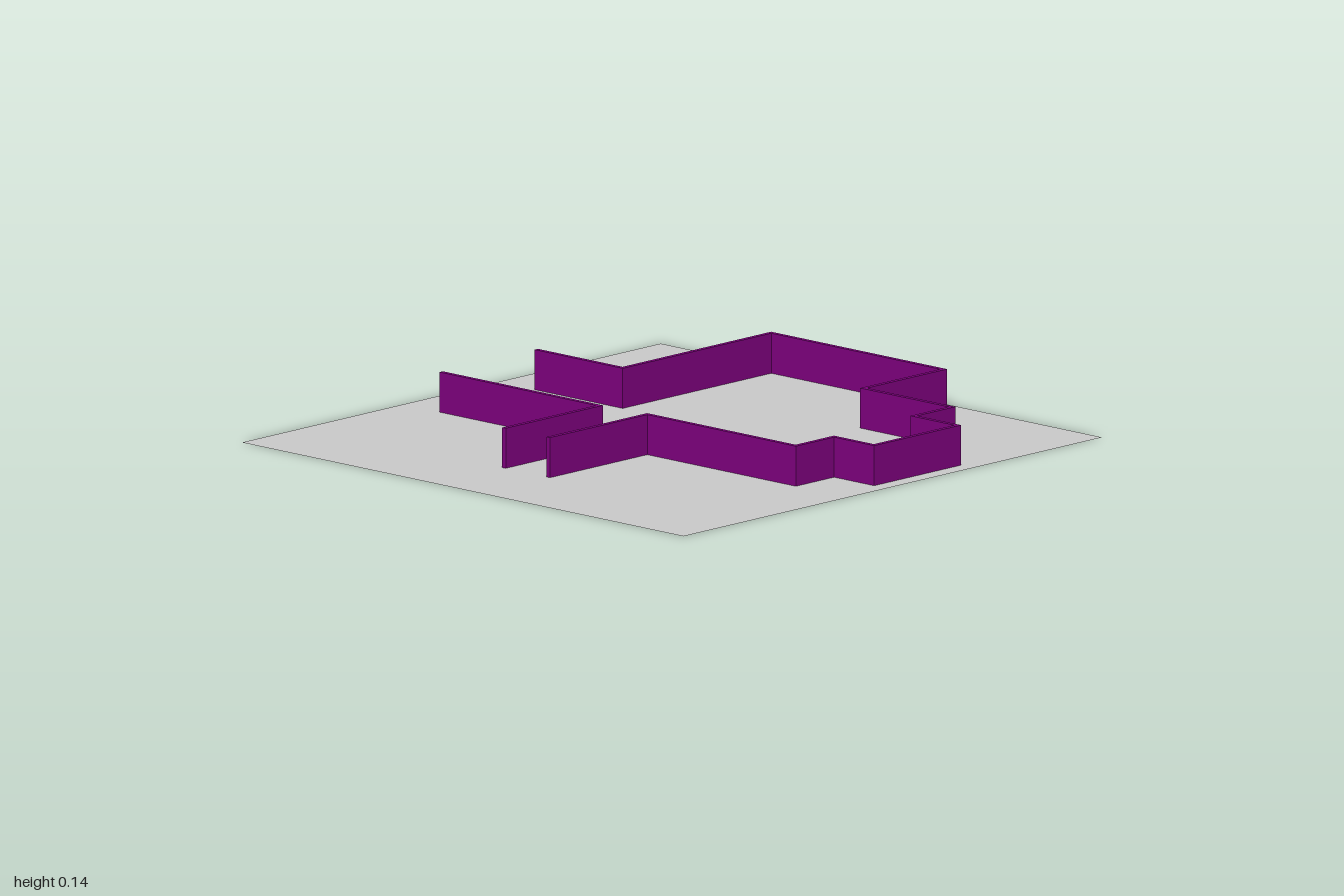
import * as THREE from 'three';

const WALL_HEIGHT = 0.135;
const HALF_THICKNESS = 0.008;

// Mitred wall of constant thickness along a right-angled path of [x, z] points
function makeWall(name, path, material) {
  const pts = path.map(([x, z]) => new THREE.Vector2(x, -z));
  const normals = pts.slice(1).map((p, i) => {
    const d = p.clone().sub(pts[i]).normalize();
    return new THREE.Vector2(-d.y, d.x);
  });
  // At a corner the two side normals add up to the mitre offset
  const side = (sign) => pts.map((p, i) => {
    const offset = new THREE.Vector2();
    if (i > 0) offset.add(normals[i - 1]);
    if (i < normals.length) offset.add(normals[i]);
    return p.clone().addScaledVector(offset, sign * HALF_THICKNESS);
  });
  const shape = new THREE.Shape([...side(1), ...side(-1).reverse()]);
  const geometry = new THREE.ExtrudeGeometry(shape, { depth: WALL_HEIGHT, bevelEnabled: false });
  geometry.rotateX(-Math.PI / 2);
  const wall = new THREE.Mesh(geometry, material);
  wall.name = name;
  return wall;
}

export function createModel() {
  const model = new THREE.Group();
  model.name = 'floorPlan';

  // Thin square floor
  const floor = new THREE.Mesh(
    new THREE.PlaneGeometry(2, 2).rotateX(-Math.PI / 2),
    new THREE.MeshStandardMaterial({ color: 0xcccccc, side: THREE.DoubleSide })
  );
  floor.name = 'floor';
  model.add(floor);

  const purple = new THREE.MeshStandardMaterial({ color: 0x800080 });

  // Long stepped wall around the room, ending beside the front passage
  model.add(makeWall('roomWall', [
    [-0.835, -0.232], [-0.444, -0.232], [-0.444, -0.942], [0.337, -0.942],
    [0.337, -0.56], [0.737, -0.56], [0.737, -0.378], [0.936, -0.378],
    [0.936, 0.022], [0.755, 0.022], [0.755, 0.205], [0.082, 0.205], [0.082, 0.678],
  ], purple));

  // L-shaped wall between the side opening and the front passage
  model.add(makeWall('cornerWall', [
    [-0.835, 0.222], [-0.118, 0.222], [-0.118, 0.678],
  ], purple));

  return model;
}
